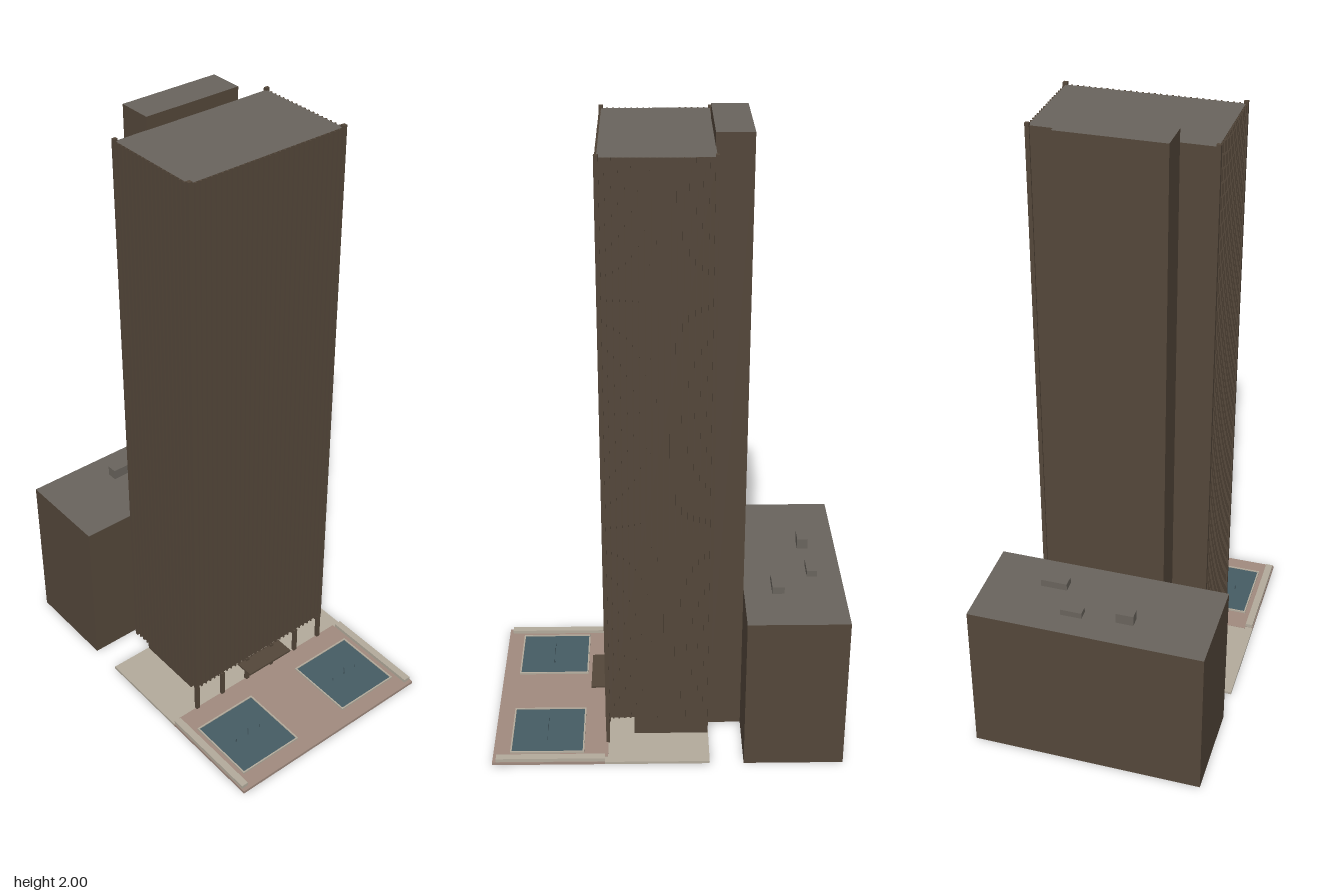
import * as THREE from 'three';

const paint = (name, color) => {
  const m = new THREE.MeshStandardMaterial({ color });
  m.name = name;
  return m;
};

export function createModel() {
  const model = new THREE.Group();
  model.name = 'officeTower';

  const bronze = paint('bronze cladding', 0x54473a);
  const roof = paint('roof grey', 0x69645d);
  const stone = paint('pale stone', 0xb3ab9c);
  const paving = paint('pink paving', 0xa18b7f);
  const water = paint('pool water', 0x465c64);

  // Box given by its limits on each axis; the top may have its own colour
  const block = (name, [x0, x1], [y0, y1], [z0, z1], side, top = side, parent = model) => {
    const geo = new THREE.BoxGeometry(x1 - x0, y1 - y0, z1 - z0);
    const mat = top === side ? side : [side, side, top, side, side, side];
    const mesh = new THREE.Mesh(geo, mat);
    mesh.position.set((x0 + x1) / 2, (y0 + y1) / 2, (z0 + z1) / 2);
    mesh.name = name;
    parent.add(mesh);
    return mesh;
  };
  const around = (c, w) => [c - w / 2, c + w / 2];

  // Main volumes
  block('towerShaft', [-0.27, 0.27], [0.105, 1.96], [-0.137, 0.19], bronze, roof);
  block('serviceSpine', [-0.163, 0.163], [0, 2], [-0.246, -0.136], bronze, roof);
  block('rearAnnex', [-0.375, 0.375], [0, 0.53], [-0.565, -0.246], bronze, roof);
  block('lobby', [-0.23, 0.23], [0.001, 0.106], [-0.136, 0.105], bronze);

  // Vertical fins on the front and both sides
  const fins = new THREE.Group();
  fins.name = 'facadeFins';
  model.add(fins);
  const frontCount = 30, sideCount = 18;
  for (let i = 1; i < frontCount; i++) {
    const x = -0.27 + (0.54 * i) / frontCount;
    block('frontFin', around(x, 0.005), [0.105, 1.96], [0.189, 0.196], bronze, bronze, fins);
  }
  for (const s of [-1, 1]) {
    for (let i = 1; i < sideCount; i++) {
      const z = -0.137 + (0.327 * i) / sideCount;
      block('sideFin', around(s * 0.272, 0.006), [0.105, 1.96], around(z, 0.005), bronze, bronze, fins);
    }
  }

  // Corner posts rising just above the roof
  for (const x of [-0.271, 0.271]) {
    block('rearCornerPost', around(x, 0.013), [0.105, 1.968], around(-0.137, 0.011), bronze);
    block('frontCornerPost', around(x, 0.013), [0.105, 1.968], around(0.191, 0.013), bronze);
  }

  // Ground-level columns and entrance canopy
  for (let i = 0; i < 6; i++) {
    const x = -0.27 + i * 0.108;
    block('frontColumn', around(x, 0.013), [0.001, 0.106], around(0.191, 0.012), bronze);
  }
  block('entranceCanopy', [-0.09, 0.09], [0.09, 0.097], [0.185, 0.25], bronze);

  // Paved ground
  block('sidePavement', [-0.375, 0.375], [0, 0.009], [-0.137, 0.2], stone);
  block('frontPlaza', [-0.375, 0.375], [0, 0.01], [0.2, 0.562], paving);
  block('plazaEdge', [-0.348, 0.348], [0.008, 0.01], [0.19, 0.2], paving);

  // Planter walls, pools and fountain jets
  for (const s of [-1, 1]) {
    block('sideWall', around(s * 0.361, 0.024), [0.009, 0.022], [0.2, 0.55], stone);

    const rim = new THREE.Shape();
    rim.moveTo(-0.116, -0.12).lineTo(0.116, -0.12).lineTo(0.116, 0.12).lineTo(-0.116, 0.12).closePath();
    const hole = new THREE.Path();
    hole.moveTo(-0.111, -0.115).lineTo(-0.111, 0.115).lineTo(0.111, 0.115).lineTo(0.111, -0.115).closePath();
    rim.holes.push(hole);
    const rimGeo = new THREE.ExtrudeGeometry(rim, { depth: 0.007, bevelEnabled: false });
    const poolRim = new THREE.Mesh(rimGeo.rotateX(-Math.PI / 2), stone);
    poolRim.name = 'poolRim';
    poolRim.position.set(s * 0.215, 0.009, 0.388);
    model.add(poolRim);

    block('poolWater', around(s * 0.215, 0.223), [0.009, 0.013], around(0.388, 0.231), water);

    for (const dx of [-0.05, 0, 0.05]) {
      const h = dx ? 0.014 : 0.03;
      const jet = new THREE.Mesh(new THREE.CylinderGeometry(0.0015, 0.002, h, 6), water);
      jet.name = 'fountainJet';
      jet.position.set(s * 0.215 + dx, 0.012 + h / 2, 0.39);
      model.add(jet);
    }
  }

  // Plant units on the annex roof
  block('roofUnit', [-0.131, -0.075], [0.529, 0.565], [-0.474, -0.439], roof);
  block('roofUnit', [0.03, 0.099], [0.529, 0.55], [-0.487, -0.454], roof);
  block('roofUnit', [0.115, 0.2], [0.529, 0.554], [-0.374, -0.335], roof);

  return model;
}
